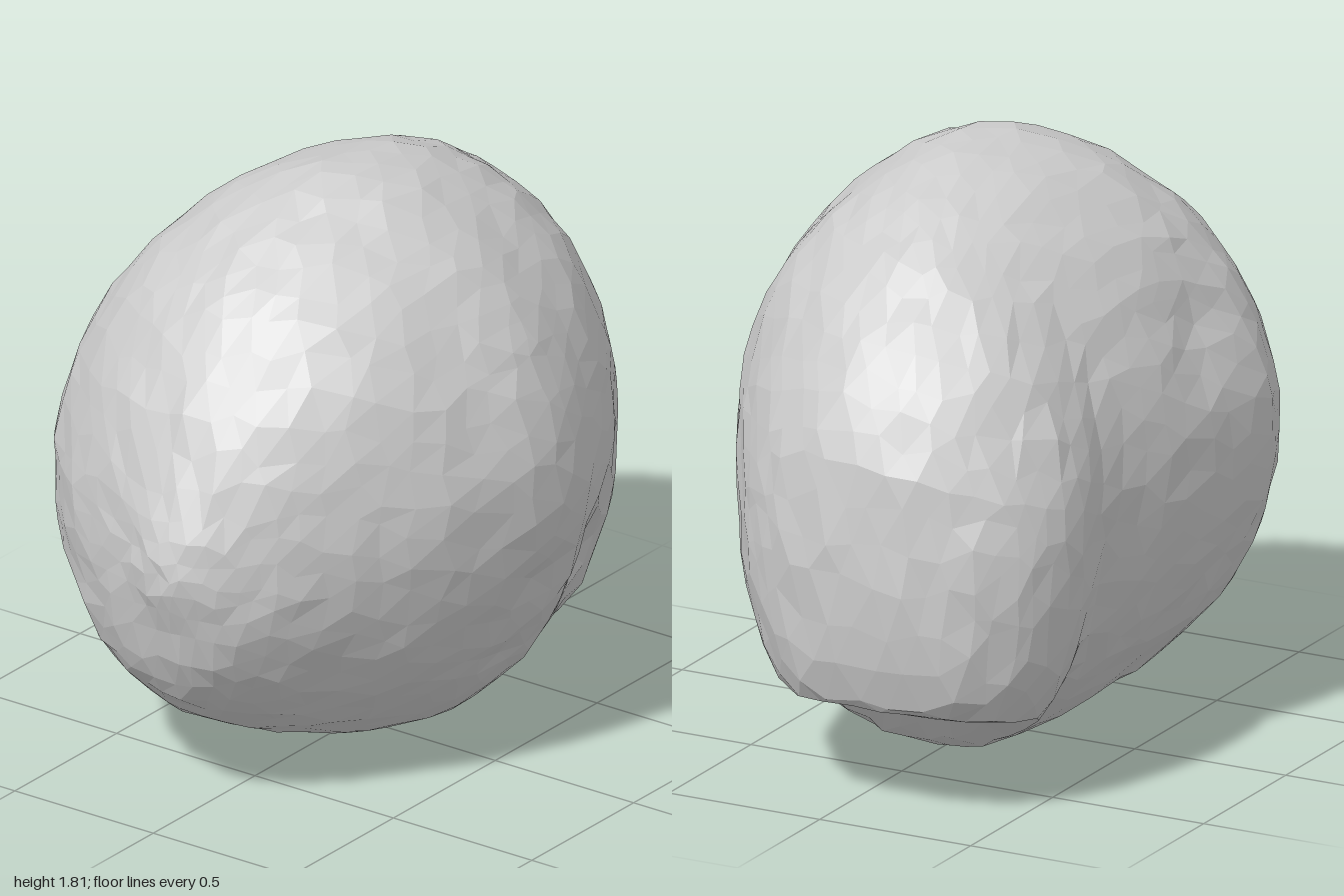
import * as THREE from 'three';
import { mergeVertices } from 'three/addons/utils/BufferGeometryUtils.js';

// Outline of the boulder along x: [x, top, bottom, back, front]
const outline = [
  [-1, 0.82, 0.82, 0.03, 0.03],
  [-0.95, 1.0, 0.62, -0.12, 0.15],
  [-0.9, 1.1, 0.46, -0.25, 0.22],
  [-0.8, 1.3, 0.33, -0.45, 0.33],
  [-0.6, 1.55, 0.19, -0.66, 0.49],
  [-0.4, 1.69, 0.1, -0.74, 0.62],
  [-0.2, 1.79, 0.04, -0.725, 0.69],
  [-0.1, 1.81, 0.025, -0.705, 0.725],
  [0, 1.81, 0.01, -0.69, 0.735],
  [0.1, 1.8, 0.0, -0.67, 0.72],
  [0.2, 1.78, 0.0, -0.65, 0.69],
  [0.35, 1.73, 0.03, -0.62, 0.63],
  [0.6, 1.57, 0.1, -0.645, 0.49],
  [0.8, 1.36, 0.18, -0.57, 0.35],
  [0.9, 1.22, 0.25, -0.46, 0.24],
  [0.95, 1.12, 0.34, -0.36, 0.15],
  [1, 0.74, 0.72, -0.12, -0.1],
];
// Height of the broken-off ledge under the left side: [x, y]
const ledge = [[-1, 0], [0.28, 0], [0.4, 0.09], [0.5, 0.19], [0.6, 0.26], [0.8, 0.3], [0.93, 0.34], [1, 0.4]];
// Chips and hollows: [side (1 front, -1 back), x, y, radius, depth]
const dents = [
  [1, 0, 0.6, 0.11, 0.05], [1, 0, 0.36, 0.1, 0.03], [1, 0.43, 0.52, 0.11, 0.06],
  [-1, -0.15, 1.28, 0.14, 0.045],
];
const { smoothstep, lerp, clamp } = THREE.MathUtils;

// Interpolate a column over the angle of x, so the ends close roundly
function sample(table, x, column) {
  let i = 1;
  while (i < table.length - 1 && table[i][0] < x) i++;
  const a = table[i - 1], b = table[i], start = Math.asin(a[0]);
  const t = (Math.asin(x) - start) / (Math.asin(b[0]) - start);
  return a[column] + (b[column] - a[column]) * t;
}

function seeded(seed) {
  return () => {
    seed = (seed * 16807) % 2147483647;
    return seed / 2147483647 - 0.5;
  };
}

// Map a direction on the unit sphere to the rock surface
function surface(d) {
  const x = clamp(d.x, -1, 1);
  const [top, bottom, back, front] = [1, 2, 3, 4].map(c => sample(outline, x, c));
  const angle = Math.atan2(d.y, d.z), c = Math.cos(angle), s = Math.sin(angle);

  // Narrow brow with full shoulders in front, leaner left lobe behind, squarer above the ledge
  const upperFront = 1.72 + 0.5 * smoothstep(Math.abs(x), 0.15, 0.6);
  const upperBack = 1.9 - 0.2 * smoothstep(x, 0.2, 0.6);
  const upper = lerp(upperBack, upperFront, smoothstep(c, -0.2, 0.2));
  const lower = lerp(2.1, 1.88, smoothstep(c, -0.2, 0.2)) + 0.6 * smoothstep(x, 0.35, 0.65);
  const n = lerp(lower, upper, smoothstep(s, -0.3, 0.3));
  const r = Math.pow(Math.abs(c) ** n + Math.abs(s) ** n, -1 / n);
  const middle = lerp(bottom, top, 0.52);
  let y = middle + r * s * (s > 0 ? top - middle : middle - bottom);
  let z = (front + back) / 2 + r * c * (front - back) / 2;

  // Soft upright groove between the two rear lobes
  z += Math.max(0, -c) * 0.015 * Math.exp(-(((x - 0.3) / 0.18) ** 2));
  for (const [side, dx, dy, radius, depth] of dents) {
    const fade = clamp(side * c * 2, 0, 1);
    z -= side * depth * fade * Math.exp(-((x - dx) ** 2 + (y - dy) ** 2) / radius ** 2);
  }
  y = Math.max(y, sample(ledge, x, 1));
  return new THREE.Vector3(x, y, z);
}

export function createModel() {
  const group = new THREE.Group();
  group.name = 'rock';

  let geometry = new THREE.IcosahedronGeometry(1, 10);
  geometry.deleteAttribute('normal');
  geometry.deleteAttribute('uv');
  geometry = mergeVertices(geometry, 1e-4);

  // Irregular facets: shift each vertex sideways, then slightly in or out
  const random = seeded(4711), position = geometry.attributes.position;
  const d = new THREE.Vector3(), centre = new THREE.Vector3(0, 0.9, 0);
  for (let i = 0; i < position.count; i++) {
    d.fromBufferAttribute(position, i);
    d.x += random() * 0.05;
    d.y += random() * 0.05;
    d.z += random() * 0.05;
    d.normalize();
    const p = surface(d).sub(centre).multiplyScalar(1 + random() * 0.014).add(centre);
    position.setXYZ(i, clamp(p.x, -1, 1), Math.max(0, p.y), p.z);
  }

  geometry = geometry.toNonIndexed();
  geometry.computeVertexNormals();
  const boulder = new THREE.Mesh(geometry, new THREE.MeshStandardMaterial({ color: 0xcccccc, flatShading: true }));
  boulder.name = 'boulder';
  group.add(boulder);
  return group;
}
